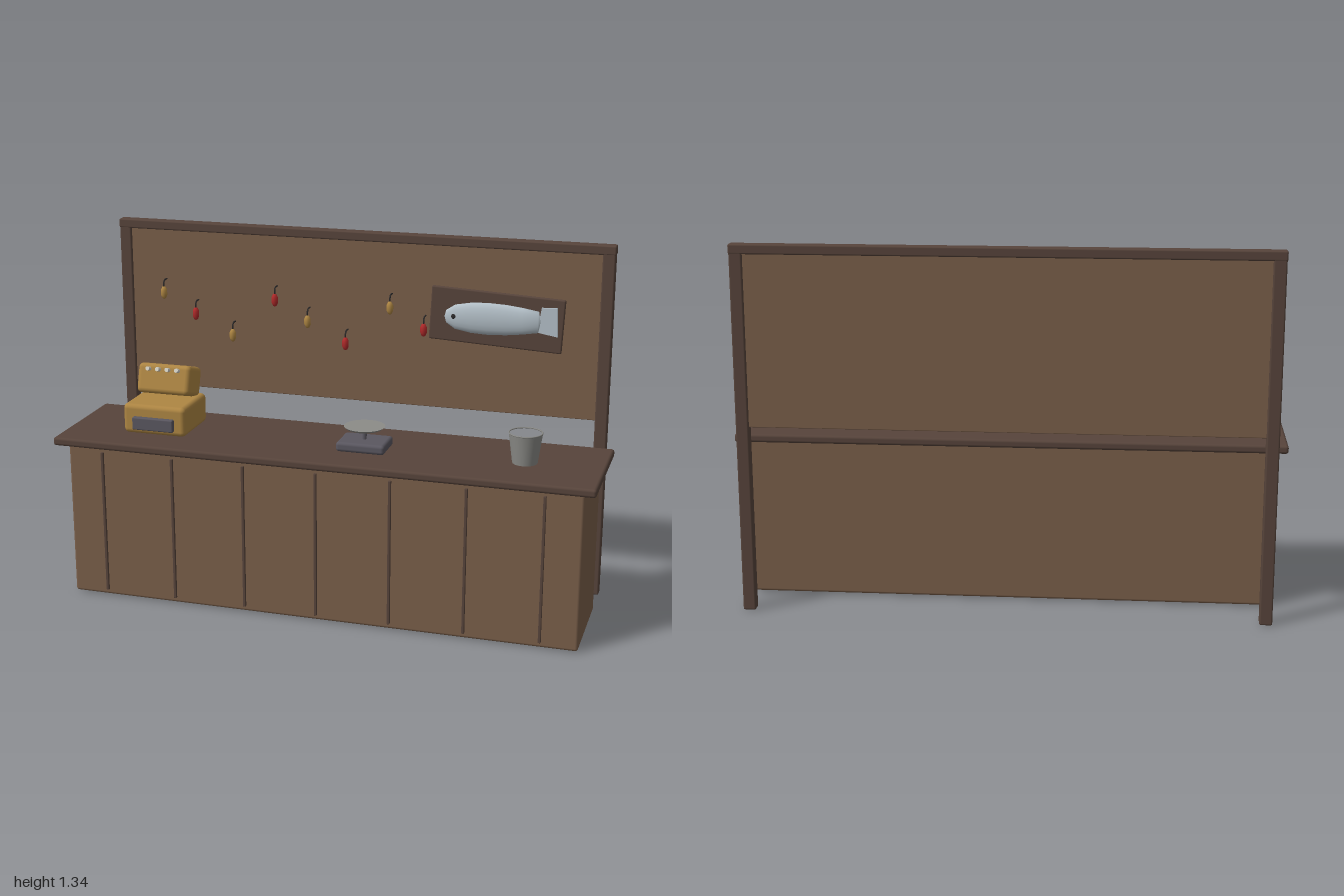
import * as THREE from 'three';
import { RoundedBoxGeometry } from 'three/addons/geometries/RoundedBoxGeometry.js';

const mat = (name, color, extra = {}) => {
  const m = new THREE.MeshStandardMaterial({ color, ...extra });
  m.name = name;
  return m;
};

export function createModel() {
  const lightWood = mat('lightWood', 0x7a5f4a);
  const darkWood = mat('darkWood', 0x57443b);
  const brass = mat('brass', 0xae8643);
  const steel = mat('steel', 0x8c8c88);
  const iron = mat('iron', 0x5a5760);
  const silver = mat('fishSilver', 0xb4c0c8);
  const red = mat('red', 0xb02a2a);
  const black = mat('black', 0x2c2a2a);
  const cream = mat('cream', 0xd8d4c8);

  const model = new THREE.Group();
  model.name = 'shopCounter';

  const add = (parent, name, geometry, material, x = 0, y = 0, z = 0) => {
    const mesh = new THREE.Mesh(geometry, material);
    mesh.name = name;
    mesh.position.set(x, y, z);
    parent.add(mesh);
    return mesh;
  };
  // Box with softened edges, given by its min and max corners
  const block = (parent, name, material, [x0, y0, z0], [x1, y1, z1], r = 0.006) =>
    add(parent, name, new RoundedBoxGeometry(x1 - x0, y1 - y0, z1 - z0, 2, r), material,
      (x0 + x1) / 2, (y0 + y1) / 2, (z0 + z1) / 2);
  const group = (name, x, y, z) => {
    const g = new THREE.Group();
    g.name = name;
    g.position.set(x, y, z);
    model.add(g);
    return g;
  };

  // Counter with front battens
  block(model, 'counterBody', lightWood, [-0.957, 0.004, -0.116], [0.957, 0.592, 0.264], 0.01);
  block(model, 'counterTop', darkWood, [-1, 0.592, -0.158], [1, 0.623, 0.306], 0.01);
  for (let i = -3; i <= 3; i++) {
    block(model, 'batten', darkWood, [i * 0.274 - 0.005, 0.024, 0.256], [i * 0.274 + 0.005, 0.57, 0.273], 0.002);
  }

  // Back wall: posts, beam and panel
  for (const s of [-1, 1]) {
    block(model, 'post', darkWood, [s * 0.932 - 0.023, 0, -0.305], [s * 0.932 + 0.023, 1.325, -0.263]);
  }
  block(model, 'topBeam', darkWood, [-0.957, 1.305, -0.306], [0.957, 1.34, -0.262]);
  block(model, 'backPanel', lightWood, [-0.915, 0.686, -0.294], [0.915, 1.312, -0.274], 0.003);

  // Cash register
  const register = group('cashRegister', -0.652, 0.623, 0.06);
  block(register, 'registerBase', brass, [-0.122, 0, -0.114], [0.122, 0.112, 0.115], 0.018);
  block(register, 'drawer', iron, [-0.08, 0.02, 0.1], [0.08, 0.068, 0.132], 0.005);
  const head = new THREE.Group();
  head.name = 'registerHead';
  head.position.set(0, 0.171, -0.046);
  head.rotation.x = -0.3;
  register.add(head);
  block(head, 'headBody', brass, [-0.104, -0.056, -0.064], [0.104, 0.056, 0.064], 0.018);
  for (let i = 0; i < 4; i++) {
    const key = add(head, 'key', new THREE.CylinderGeometry(0.008, 0.008, 0.03, 10), cream, -0.057 + i * 0.038, 0.034, 0.07);
    key.rotation.x = Math.PI / 2;
  }

  // Weighing scale
  const scale = group('scale', 0.134, 0.623, 0.097);
  block(scale, 'scaleBase', iron, [-0.09, 0, -0.068], [0.09, 0.036, 0.068], 0.012);
  add(scale, 'scaleStem', new THREE.CylinderGeometry(0.008, 0.008, 0.046, 10), iron, 0, 0.057, 0);
  add(scale, 'scalePan', new THREE.CylinderGeometry(0.075, 0.066, 0.008, 20), steel, 0, 0.081, 0);

  // Open bucket with a rolled rim
  const bucket = group('bucket', 0.717, 0.623, 0.087);
  add(bucket, 'bucketWall', new THREE.CylinderGeometry(0.06, 0.045, 0.11, 18, 1, true), steel, 0, 0.055, 0);
  const rim = add(bucket, 'bucketRim', new THREE.TorusGeometry(0.059, 0.0025, 6, 24), steel, 0, 0.11, 0);
  rim.rotation.x = Math.PI / 2;

  // Mounted fish on a tilted plaque
  const trophy = group('mountedFish', 0.532, 1.043, -0.262);
  const plaque = block(trophy, 'plaque', darkWood, [-0.249, -0.101, -0.015], [0.249, 0.101, 0.001], 0.006);
  plaque.rotation.z = -0.05;
  const profile = [[0, -0.19], [0.024, -0.183], [0.046, -0.15], [0.057, -0.09], [0.06, -0.03],
    [0.057, 0.04], [0.05, 0.1], [0.04, 0.16], [0, 0.168]].map(([r, y]) => new THREE.Vector2(r, y));
  const fishGeo = new THREE.LatheGeometry(profile, 18);
  fishGeo.rotateZ(-Math.PI / 2);
  fishGeo.scale(1, 1, 0.37);
  add(trophy, 'fishBody', fishGeo, silver, 0, 0.006, 0.019);
  const tailShape = new THREE.Shape([[0.155, -0.032], [0.232, -0.045], [0.227, 0.063], [0.17, 0.06]]
    .map(([x, y]) => new THREE.Vector2(x, y)));
  add(trophy, 'fishTail', new THREE.ExtrudeGeometry(tailShape, { depth: 0.008, bevelEnabled: false }), silver, 0, 0, 0.013);
  const eye = add(trophy, 'fishEye', new THREE.SphereGeometry(0.01, 10, 8), black, -0.152, 0.01, 0.033);
  eye.scale.z = 0.5;

  // Row of hanging lures, alternating brass and red
  const hookPath = new THREE.CatmullRomCurve3([[0, 0.02, 0], [0, 0.038, 0], [0, 0.047, -0.008], [0, 0.048, -0.036]]
    .map((p) => new THREE.Vector3(...p)));
  const hookGeo = new THREE.TubeGeometry(hookPath, 10, 0.003, 6);
  const lureGeo = new THREE.LatheGeometry([[0, -0.026], [0.007, -0.022], [0.013, -0.01], [0.013, 0.01], [0.007, 0.022], [0, 0.026]]
    .map(([r, y]) => new THREE.Vector2(r, y)), 8);
  const lureX = [-0.77, -0.64, -0.49, -0.318, -0.188, -0.038, 0.134, 0.264];
  lureX.forEach((x, i) => {
    const lure = group('lure', x, 1.065 - (i % 3) * 0.075, -0.242);
    add(lure, 'lureBody', lureGeo, i % 2 ? red : brass);
    add(lure, 'lureHook', hookGeo, black);
  });

  return model;
}
